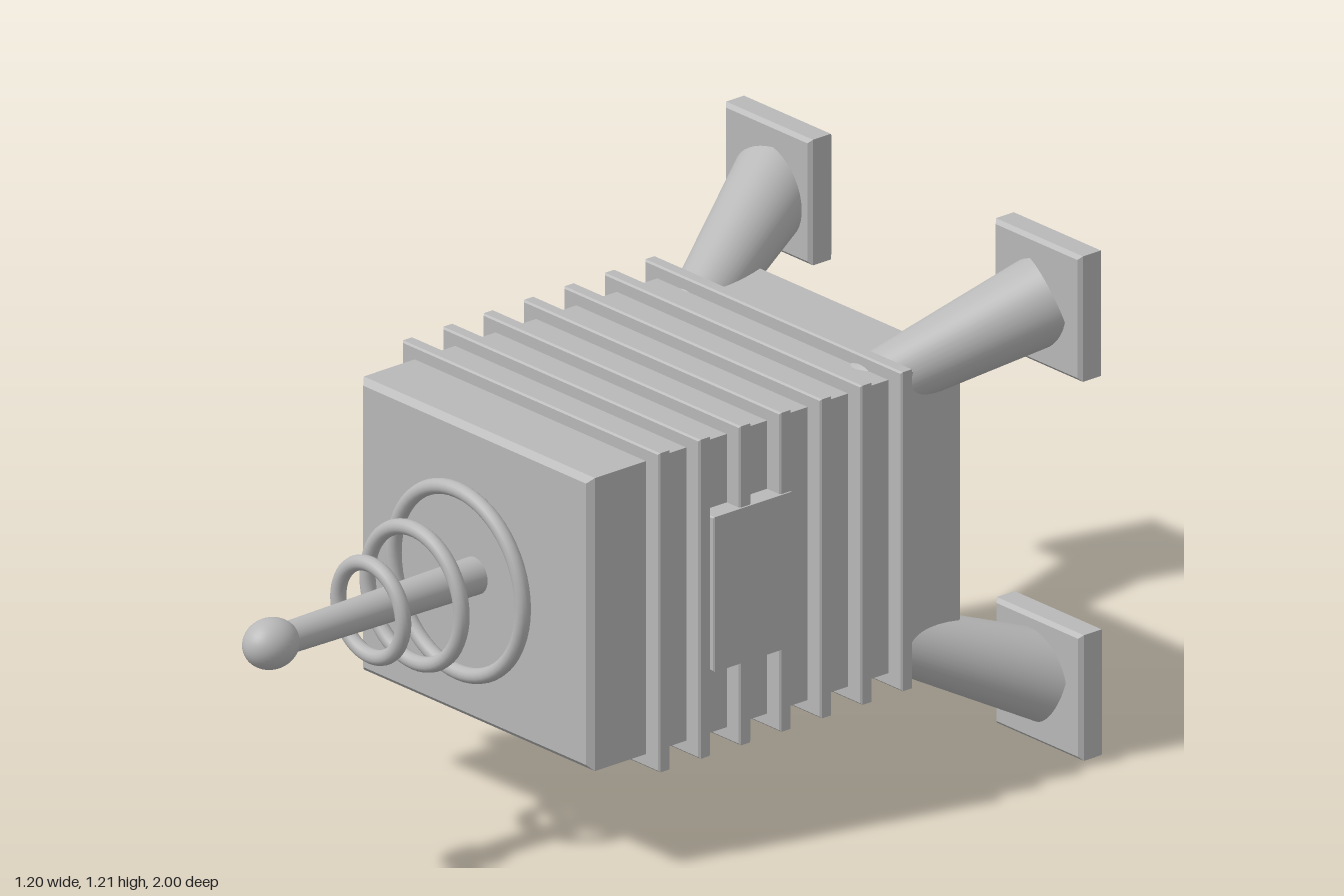
import * as THREE from 'three';

const grey = new THREE.MeshStandardMaterial({ color: 0xb8b8b8 });
grey.name = 'plain grey';

const CY = 0.61; // height of the main axis

// Box with single-step chamfered edges, centred on its origin
function chamferBox(w, h, d, c) {
  const x = w / 2 - c, y = h / 2 - c;
  const shape = new THREE.Shape([
    new THREE.Vector2(-x, -y), new THREE.Vector2(x, -y),
    new THREE.Vector2(x, y), new THREE.Vector2(-x, y),
  ]);
  const geo = new THREE.ExtrudeGeometry(shape, {
    depth: d - 2 * c, bevelEnabled: true, bevelSegments: 1, bevelSize: c, bevelThickness: c,
  });
  return geo.translate(0, 0, -(d - 2 * c) / 2);
}

export function createModel() {
  const model = new THREE.Group();
  model.name = 'finnedProbe';

  function add(name, geometry, x, y, z) {
    const mesh = new THREE.Mesh(geometry, grey);
    mesh.name = name;
    mesh.position.set(x, y, z);
    model.add(mesh);
    return mesh;
  }

  // Main housing
  add('body', chamferBox(0.776, 0.7, 1.095, 0.014), 0, CY, -0.2125);

  // Cooling fins wrapped around the housing
  const finGeo = chamferBox(0.864, 0.762, 0.034, 0.004);
  for (let i = 0; i < 7; i++) add('fin', finGeo, 0, CY, 0.155 - i * 0.1183);

  // Access panel on the left side
  add('sidePanel', chamferBox(0.06, 0.37, 0.23, 0.003), 0.406, 0.612, -0.1);

  // Front rod with rounded tip
  add('rod', new THREE.CylinderGeometry(0.036, 0.044, 0.6, 32), 0, CY, 0.6)
    .rotation.x = Math.PI / 2;
  add('rodTip', new THREE.SphereGeometry(0.058, 32, 20), 0, CY, 0.931)
    .scale.z = 1.18;

  // Floating rings, shrinking toward the tip
  for (const [radius, z] of [[0.217, 0.383], [0.158, 0.511], [0.109, 0.639]]) {
    add('ring', new THREE.TorusGeometry(radius, 0.018, 14, 56), 0, CY, z);
  }

  // Four splayed tapered legs, each ending in a square pad
  const padGeo = chamferBox(0.292, 0.3, 0.07, 0.009);
  const up = new THREE.Vector3(0, 1, 0);
  for (const [sx, sy, px, py] of [
    [-1, 1, -0.455, 1.06], [1, 1, 0.451, 1.065],
    [-1, -1, -0.457, 0.155], [1, -1, 0.454, 0.161],
  ]) {
    add('footPad', padGeo, px, py, -0.951);
    const foot = new THREE.Vector3(px, py, -0.947);
    const root = new THREE.Vector3(px - sx * 0.185, py - sy * 0.185, -0.507);
    const axis = foot.clone().sub(root);
    const mid = foot.clone().add(root).multiplyScalar(0.5);
    const leg = add('leg', new THREE.CylinderGeometry(0.103, 0.063, axis.length(), 40), mid.x, mid.y, mid.z);
    leg.quaternion.setFromUnitVectors(up, axis.normalize());
  }

  return model;
}
